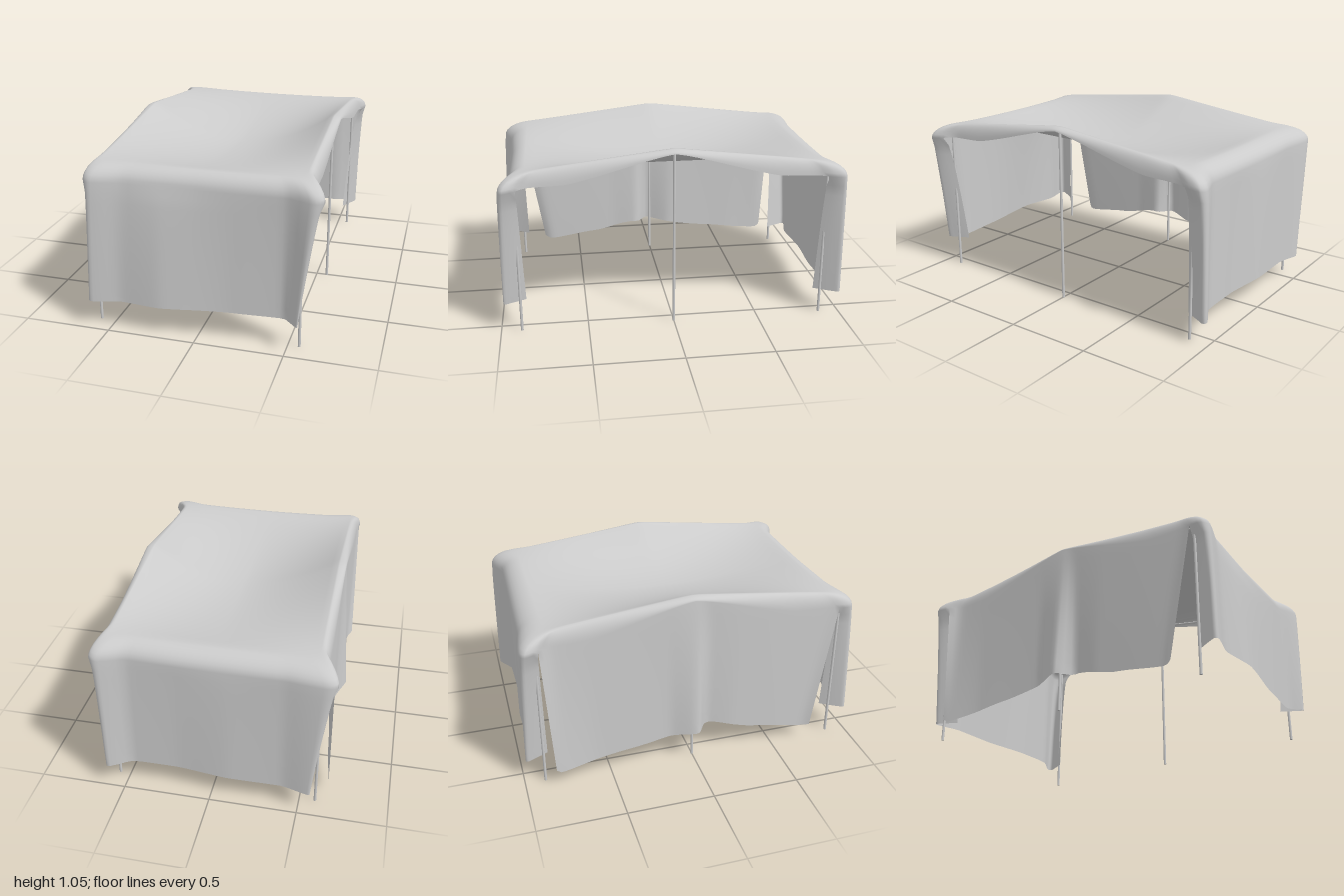
import * as THREE from 'three';
import { mergeVertices } from 'three/addons/utils/BufferGeometryUtils.js';

const X = 0.61, Z = 0.94, SLIT = 0.87;

// Soft interpolation through [position, value] pairs
function ease(points) {
  return (p) => {
    if (p <= points[0][0]) return points[0][1];
    for (let i = 1; i < points.length; i++) {
      const [a, va] = points[i - 1], [b, vb] = points[i];
      const k = 0.6 * (p - a) / (b - a) + 0.4 * THREE.MathUtils.smoothstep(p, a, b);
      if (p <= b) return va + (vb - va) * k;
    }
    return points[points.length - 1][1];
  };
}

// Bottom heights of the hanging edges
const frontHem = ease([[-0.61, 0.165], [0, 0.175], [0.61, 0.17]]);
const backHem = ease([[-0.61, 0.13], [0.4, 0.152], [0.61, 0.138]]);
const wallHem = ease([[-0.87, 0.1], [-0.84, 0.08], [-0.4, 0.135], [0.03, 0.195], [0.14, 0.2], [0.45, 0.135], [0.83, 0.085], [0.87, 0.1]]);
// Outward reach of the cloth at the shoulder and at the hem
const frontShoulder = ease([[-0.56, 0.03], [-0.4, -0.015], [0, -0.03], [0.48, -0.03], [0.57, 0.03]]);
const backShoulder = ease([[-0.58, 0.035], [-0.4, 0.005], [0.45, -0.01], [0.57, 0.045]]);
const frontSwing = ease([[-0.57, 0.055], [-0.44, 0.015], [-0.2, 0.04], [0.2, -0.015], [0.48, -0.035], [0.57, 0.045]]);
const backSwing = ease([[-0.57, 0.045], [-0.4, 0.005], [-0.1, 0.015], [0.2, -0.01], [0.46, -0.005], [0.56, 0.06]]);
const wallSwing = ease([[-0.87, 0.045], [-0.6, 0.012], [-0.15, 0], [0.02, 0.06], [0.1, -0.035], [0.3, -0.01], [0.87, 0.005]]);
// Drop of the rounded edge, shallow at the ridge and deep towards the eaves
const edgeDrop = ease([[0, 0.02], [0.6, 0.108], [0.87, 0.09]]);

// Roof: tight sloping side edges with a sag between them
function roofHeight(x, z) {
  const edge = 1.053 - 0.12 * Math.hypot(z, 0.03);
  const middle = 0.85 + 0.095 * (z / 0.82) ** 2;
  const w = Math.min(1, Math.abs(x) / 0.56) ** (x < 0 ? 1.7 : 2.2);
  return middle + (edge - middle) * w;
}

// Sideways and forward shift of the cloth from shoulder (t = 0) to hem (t = 1)
function shift(px, pz, t) {
  const front = pz > 0;
  const c = Math.exp(-((Math.abs(px) - 0.6) ** 2) / 0.008 - ((Math.abs(pz) - 0.92) ** 2) / 0.004);
  const [top, hem] = px > 0 ? (front ? [0.085, 0] : [0.045, 0.04]) : (front ? [0.02, 0.05] : [0.08, 0]);
  const f = THREE.MathUtils.clamp((Math.abs(pz) - SLIT) / 0.035, 0, 1);
  const shoulder = (front ? frontShoulder : backShoulder)(px);
  const swing = (front ? frontSwing : backSwing)(px);
  return [
    Math.sign(px) * c * (top + (hem - top) * t),
    Math.sign(pz) * f * (shoulder + (swing - shoulder) * t ** 0.6),
  ];
}

// Plan outline of one flap, wrapping round both corners
function flapOutline(side) {
  const pts = [], n = 8;
  for (let i = 0; i <= n; i++) {
    const a = (i / n) * Math.PI / 2;
    pts.push([-0.55 - 0.06 * Math.cos(a), SLIT + 0.07 * Math.sin(a)]);
  }
  for (let i = 1; i < 36; i++) pts.push([-0.55 + 1.1 * i / 36, Z]);
  for (let i = 0; i <= n; i++) {
    const a = (1 - i / n) * Math.PI / 2;
    pts.push([0.55 + 0.06 * Math.cos(a), SLIT + 0.07 * Math.sin(a)]);
  }
  return pts.map(([x, z]) => [x * side, z * side]);
}

function sideOutline(side) {
  const n = 60;
  return Array.from({ length: n + 1 }, (_, i) => [side * X, side * SLIT * (1 - 2 * i / n)]);
}

// Column of cloth from the roof centre over the edge and down to the hem
function clothColumn([px, pz], kind) {
  const ROOF = 16, ROUND = 7, HANG = kind === 'lip' ? 0 : 12;
  const col = [];
  const ix = px * (X - 0.05) / X, iz = pz * (Z - 0.12) / Z;
  for (let i = 0; i <= ROOF; i++) {
    const t = i / ROOF;
    col.push([ix * t, roofHeight(ix * t, iz * t), iz * t]);
  }
  const top = roofHeight(ix, iz), drop = edgeDrop(Math.abs(pz));
  const [ex, ez] = shift(px, pz, 0);
  for (let i = 1; i <= ROUND; i++) {
    const a = (i / ROUND) * Math.PI / 2, s = Math.sin(a);
    col.push([ix + (px + ex - ix) * s, top - drop * (1 - Math.cos(a)), iz + (pz + ez - iz) * s]);
  }
  for (let i = 1; i <= HANG; i++) {
    const t = i / HANG, y0 = top - drop;
    const [hx, hz] = shift(px, pz, t);
    let x = px + hx, z = pz + hz, hem;
    if (kind === 'wall') {
      hem = wallHem(pz);
      x -= wallSwing(pz) * t;
      z *= 1 - t * (pz > 0 ? 0.15 : 0.055);
    } else {
      // The flap ends curl inward behind the corner poles
      const curl = 1 - (Math.abs(pz) - SLIT) / 0.07;
      hem = (pz > 0 ? frontHem : backHem)(px);
      x -= Math.sign(px) * 0.1 * curl * t ** 0.4;
      z -= Math.sign(pz) * 0.02 * curl * t;
    }
    col.push([x, y0 + (hem - y0) * t, z]);
  }
  return col;
}

function clothGeometry() {
  const pos = [], index = [];
  const panels = [[flapOutline(1), 'flap'], [sideOutline(1), 'lip'], [flapOutline(-1), 'flap'], [sideOutline(-1), 'wall']];
  for (const [outline, kind] of panels) {
    const base = pos.length / 3;
    const cols = outline.map((p) => clothColumn(p, kind));
    const rows = cols[0].length;
    cols.forEach((c) => c.forEach((p) => pos.push(...p)));
    for (let j = 0; j < cols.length - 1; j++) {
      for (let i = 0; i < rows - 1; i++) {
        const a = base + j * rows + i, b = a + 1, d = a + rows, c = d + 1;
        index.push(a, b, c);
        if (i > 0) index.push(a, c, d);
      }
    }
  }
  const g = new THREE.BufferGeometry();
  g.setAttribute('position', new THREE.Float32BufferAttribute(pos, 3));
  g.setIndex(index);
  // Welding joins the panels above the corner slits only
  const welded = mergeVertices(g, 1e-4);
  welded.computeVertexNormals();
  return welded;
}

export function createModel() {
  const model = new THREE.Group();
  const cloth = new THREE.MeshStandardMaterial({ color: 0xcccccc, side: THREE.DoubleSide });
  const metal = new THREE.MeshStandardMaterial({ color: 0xcccccc });

  const canopy = new THREE.Mesh(clothGeometry(), cloth);
  canopy.name = 'canopyCloth';
  model.add(canopy);

  // Frame of straight tubes
  const up = new THREE.Vector3(0, 1, 0);
  function tube(name, from, to, radius) {
    const a = new THREE.Vector3(...from), dir = new THREE.Vector3(...to).sub(a);
    const mesh = new THREE.Mesh(new THREE.CylinderGeometry(radius, radius, dir.length(), 10), metal);
    mesh.name = name;
    mesh.position.copy(a).addScaledVector(dir, 0.5);
    mesh.quaternion.setFromUnitVectors(up, dir.clone().normalize());
    model.add(mesh);
  }
  for (const x of [-0.59, 0.563]) {
    tube('middlePole', [x, 0, 0], [x, 1.03, 0], 0.008);
    for (const z of [-0.882, 0.882]) {
      tube('cornerPole', [x, 0, z], [x, 0.865, z], 0.008);
      tube('slopeBeam', [x, 0.865, z], [x, 1.028, 0], 0.006);
    }
  }
  for (const z of [-0.882, 0.882]) tube('eaveBeam', [-0.59, 0.865, z], [0.563, 0.865, z], 0.006);

  return model;
}
